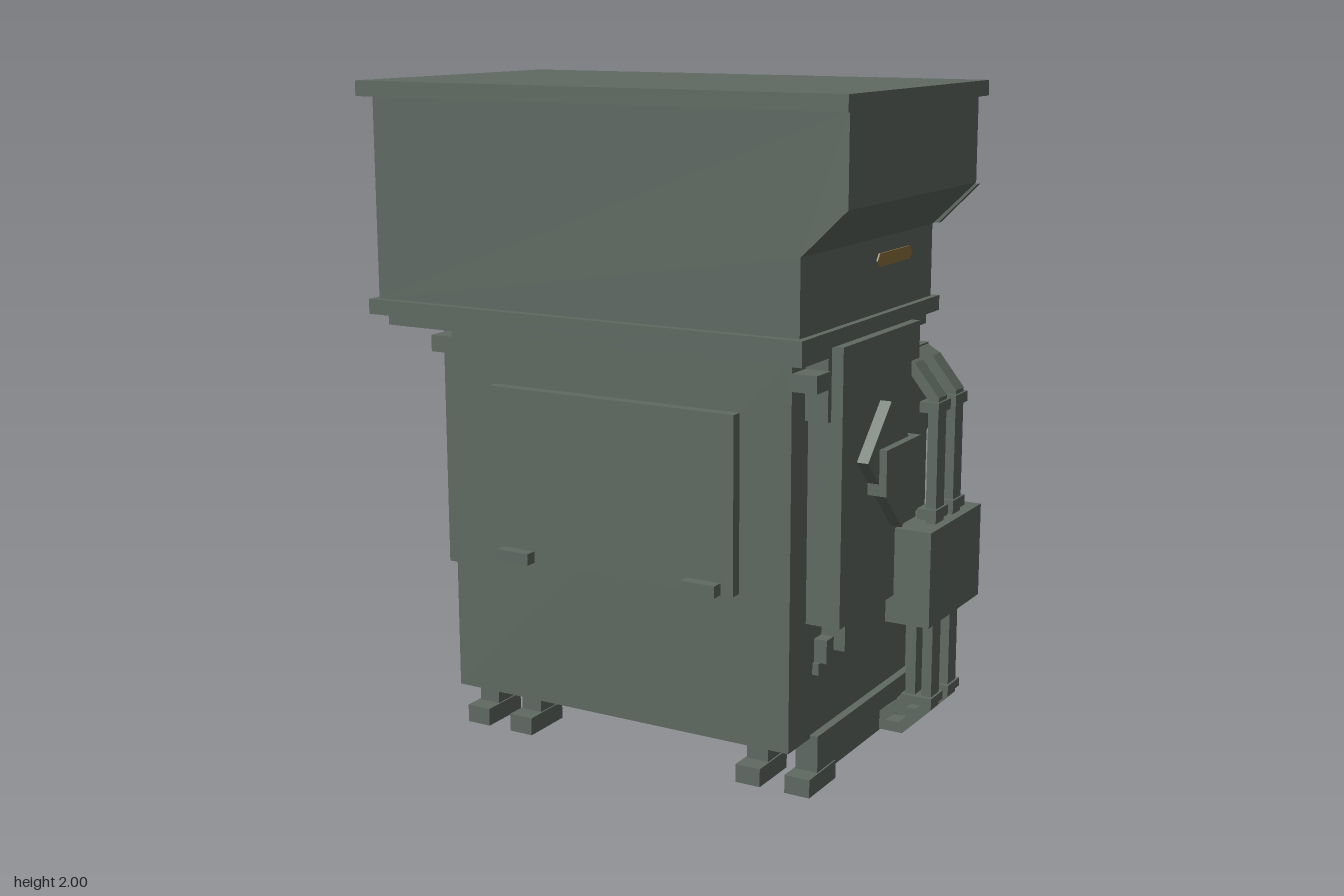
import * as THREE from 'three';

export function createModel() {
  const model = new THREE.Group();
  const paint = new THREE.MeshStandardMaterial({ color: 0x5f6a62 });
  paint.name = 'grey green paint';
  paint.flatShading = true;
  const amber = new THREE.MeshStandardMaterial({ color: 0x8f743c });
  amber.name = 'amber marking';

  function add(name, geometry, material = paint) {
    const mesh = new THREE.Mesh(geometry, material);
    mesh.name = name;
    model.add(mesh);
    return mesh;
  }
  // Box given by its limits on each axis
  function box(name, x0, x1, y0, y1, z0, z1, material) {
    const mesh = add(name, new THREE.BoxGeometry(x1 - x0, y1 - y0, z1 - z0), material);
    mesh.position.set((x0 + x1) / 2, (y0 + y1) / 2, (z0 + z1) / 2);
    return mesh;
  }
  // The same box on both sides
  function pair(name, x0, x1, ...rest) {
    box(name, x0, x1, ...rest);
    box(name, -x1, -x0, ...rest);
  }
  // Outline in x,y pushed along z from z0 to z1
  function slabZ(name, pts, z0, z1, material) {
    const shape = new THREE.Shape(pts.map(p => new THREE.Vector2(...p)));
    const g = new THREE.ExtrudeGeometry(shape, { depth: z1 - z0, bevelEnabled: false });
    return add(name, g.translate(0, 0, z0), material);
  }
  // Outline in z,y pushed along x from x0 to x1
  function slabX(name, pts, x0, x1, material) {
    const shape = new THREE.Shape(pts.map(([z, y]) => new THREE.Vector2(-z, y)));
    const g = new THREE.ExtrudeGeometry(shape, { depth: x1 - x0, bevelEnabled: false });
    return add(name, g.rotateY(Math.PI / 2).translate(x0, 0, 0), material);
  }
  // Rings of four corners joined into a closed solid
  function loft(name, rings) {
    const pos = rings.flat(2), idx = [];
    for (let r = 0; r < rings.length - 1; r++) {
      for (let i = 0; i < 4; i++) {
        const a = r * 4 + i, b = r * 4 + (i + 1) % 4;
        idx.push(a, b, b + 4, a, b + 4, a + 4);
      }
    }
    const e = (rings.length - 1) * 4;
    idx.push(0, 2, 1, 0, 3, 2, e, e + 1, e + 2, e, e + 2, e + 3);
    const g = new THREE.BufferGeometry();
    g.setAttribute('position', new THREE.Float32BufferAttribute(pos, 3));
    g.setIndex(idx);
    const flat = g.toNonIndexed();
    flat.computeVertexNormals();
    return add(name, flat);
  }

  // Upper housing with the overhang on its left side
  box('lid', -0.79, 0.79, 1.955, 2, -0.305, 0.64);
  slabZ('upperHousing', [[-0.76, 1.36], [0.64, 1.36], [0.64, 1.575], [0.775, 1.705], [0.775, 1.955], [-0.76, 1.955]], -0.265, 0.6);
  slabZ('overhangEnd', [[0.64, 1.58], [0.66, 1.58], [0.78, 1.7], [0.64, 1.7]], -0.285, -0.265);
  box('middleFlange', -0.78, 0.66, 1.315, 1.36, -0.285, 0.625);
  box('lowerFlange', -0.74, 0.64, 1.28, 1.315, -0.235, 0.585);

  // Amber strips on the housing sides
  const strip = z => [[z - 0.12, 1.51], [z - 0.105, 1.492], [z + 0.105, 1.492], [z + 0.12, 1.51], [z + 0.105, 1.53], [z - 0.105, 1.53]];
  slabX('sideStrip', strip(0.01), 0.64, 0.645, amber);
  slabX('sideStrip', strip(0.24), -0.765, -0.76, amber);

  // Rear panel and louvre
  box('rearPanel', 0.03, 0.63, 1.41, 1.76, -0.285, -0.265);
  box('rearPlate', 0.26, 0.6, 1.43, 1.57, -0.291, -0.285, amber);
  box('louvreBack', -0.64, -0.02, 1.42, 1.88, -0.28, -0.265);
  box('louvreSide', -0.66, -0.62, 1.42, 1.88, -0.325, -0.265);
  box('louvreSide', -0.05, -0.01, 1.42, 1.88, -0.325, -0.265);
  for (let i = 0; i < 8; i++) {
    const y = 1.46 + i * 0.053;
    const slat = box('louvreSlat', -0.62, -0.05, y - 0.006, y + 0.006, -0.325, -0.27);
    slat.rotation.x = -0.5;
  }
  for (let i = 0; i < 6; i++) {
    const y = 1.47 + i * 0.07;
    box('louvreTab', -0.37, -0.31, y - 0.01, y + 0.01, -0.345, -0.3);
  }

  // Main body
  box('body', -0.57, 0.57, 0.155, 1.28, -0.11, 0.505);
  pair('sideCheek', 0.56, 0.675, 0.51, 1.31, -0.11, 0.405);
  pair('bracket', 0.56, 0.645, 1.195, 1.245, 0.42, 0.505);
  pair('bracketPost', 0.56, 0.64, 1.1, 1.28, 0.4, 0.425);
  pair('rearPillar', 0.46, 0.64, 0.51, 1.22, -0.26, -0.1);
  box('rearHeader', -0.57, 0.57, 1.22, 1.28, -0.18, -0.1);

  // Front door with its two feet
  box('door', -0.41, 0.41, 0.6, 1.12, 0.505, 0.54);
  pair('doorFoot', 0.26, 0.37, 0.6, 0.635, 0.54, 0.575);

  // Stepped base
  box('baseLower', -0.57, 0.57, 0.165, 0.345, -0.4, 0.45);
  box('baseStep', -0.59, 0.59, 0.345, 0.38, -0.415, 0.36);
  box('baseLedge', -0.61, 0.61, 0.38, 0.45, -0.47, 0.35);
  box('baseTop', -0.645, 0.645, 0.41, 0.51, -0.465, 0.305);
  box('rearShelf', -0.645, 0.645, 0.5, 0.565, -0.465, -0.1);
  box('rearBar', -0.3, 0.3, 0.25, 0.285, -0.42, -0.4);

  // Tilted side plates
  for (const s of [-1, 1]) {
    const plate = box('diamondPlate', -0.02, 0.02, -0.17, 0.17, -0.106, 0.106);
    plate.position.set(s * 0.69, 0.925, 0.115);
    plate.rotation.x = Math.PI / 4;
  }
  pair('sideCover', 0.67, 0.733, 0.86, 0.995, 0, 0.235);

  // Skids, pads and sloping rear legs
  for (const s of [-1, 1]) {
    for (const c of [0.4, 0.56]) {
      const x = s * c;
      box('skid', x - 0.035, x + 0.035, 0.04, 0.165, -0.4, 0.37);
      box('frontPad', x - 0.04, x + 0.04, 0, 0.055, 0.26, 0.43);
      box('rearPad', x - 0.04, x + 0.04, 0, 0.05, -0.57, -0.385);
      slabX('rearLeg', [[-0.53, 0.055], [-0.42, 0.05], [-0.39, 0.165], [-0.49, 0.195]], x - 0.05, x + 0.05);
    }
    const c = s * 0.48;
    box('skidBridge', c - 0.1, c + 0.1, 0.11, 0.165, -0.36, 0.36);
    box('legBlock', c - 0.12, c + 0.12, 0.165, 0.35, -0.42, -0.3);
    box('legLatch', c - 0.06, c + 0.06, 0.25, 0.285, -0.425, -0.41);
  }

  // V-shaped trough below the body
  slabX('trough', [[0.37, 0.165], [0.37, 0.115], [0.03, 0.02], [-0.33, 0.115], [-0.33, 0.165]], -0.36, 0.36);
  for (const x of [-0.242, 0.242]) {
    slabX('troughRib', [[0.4, 0.155], [0.4, 0.12], [0.03, 0], [-0.35, 0.12], [-0.35, 0.155]], x - 0.022, x + 0.022);
  }

  // Tilted rear hopper
  const ring = (w, yf, zb, yb) => [[-w, yf, -0.1], [w, yf, -0.1], [w, yb, zb], [-w, yb, zb]];
  loft('hopper', [
    ring(0.42, 0.73, -0.55, 0.61), ring(0.5, 1.04, -0.625, 0.895),
    ring(0.52, 1.04, -0.64, 0.89), ring(0.52, 1.095, -0.63, 0.94),
    ring(0.45, 1.095, -0.565, 0.96), ring(0.38, 0.79, -0.51, 0.66),
  ]);
  for (const x of [-0.2, 0.2]) {
    slabX('hopperStrut', [[-0.44, 0.55], [-0.4, 0.55], [-0.45, 0.67], [-0.5, 0.65]], x - 0.04, x + 0.04);
  }

  // Twin toothed rotors inside the hopper
  const teeth = 6, outline = [];
  for (let i = 0; i < teeth; i++) {
    for (const [f, r] of [[0.05, 0.12], [0.2, 0.205], [0.55, 0.2], [0.7, 0.12]]) {
      const a = (i + f) / teeth * Math.PI * 2;
      outline.push([Math.cos(a) * r, Math.sin(a) * r]);
    }
  }
  for (const s of [-1, 1]) {
    const shaft = add('rotorShaft', new THREE.CylinderGeometry(0.065, 0.065, 0.44, 6));
    shaft.rotation.x = Math.PI / 2;
    shaft.position.set(s * 0.245, 0.95, -0.32);
    for (let i = 0; i < 3; i++) {
      const disc = slabZ('rotorDisc', outline, -0.025, 0.025);
      disc.position.set(s * 0.235, 0.95, -0.405 + i * 0.105);
      disc.rotation.z = i * 0.35 + (s > 0 ? 0.5 : 0.15);
    }
  }

  // Pipes on the left side, each a run of bars
  function pipe(points, z) {
    for (let i = 0; i < points.length - 1; i++) {
      const [x0, y0] = points[i], [x1, y1] = points[i + 1];
      const len = Math.hypot(x1 - x0, y1 - y0);
      const bar = box('pipe', -0.016, 0.016, -len / 2 - 0.005, len / 2 + 0.005, -0.03, 0.03);
      bar.position.set((x0 + x1) / 2, (y0 + y1) / 2, z);
      bar.rotation.z = -Math.atan2(x1 - x0, y1 - y0);
    }
  }
  for (const z of [-0.085, -0.215]) {
    pipe([[0.64, 1.2], [0.675, 1.18], [0.747, 1.09], [0.747, 0.7]], z);
    pipe([[0.747, 0.44], [0.747, 0.14], [0.665, 0.06], [0.55, 0.06]], z);
    pipe([[0.695, 0.44], [0.695, 0.16], [0.6, 0.085]], z);
    for (const y of [1.067, 0.745]) box('pipeCollar', 0.71, 0.77, y - 0.016, y + 0.016, z - 0.045, z + 0.045);
    box('pipeCollar', 0.67, 0.77, 0.15, 0.176, z - 0.045, z + 0.045);
  }

  // Control box with buttons
  box('controlBox', 0.65, 0.79, 0.425, 0.715, -0.345, 0.04);
  for (const y of [0.48, 0.55, 0.62]) box('button', 0.705, 0.735, y - 0.015, y + 0.015, -0.35, -0.345, amber);
  box('switch', 0.61, 0.65, 0.57, 0.64, -0.37, -0.33, amber);

  return model;
}
